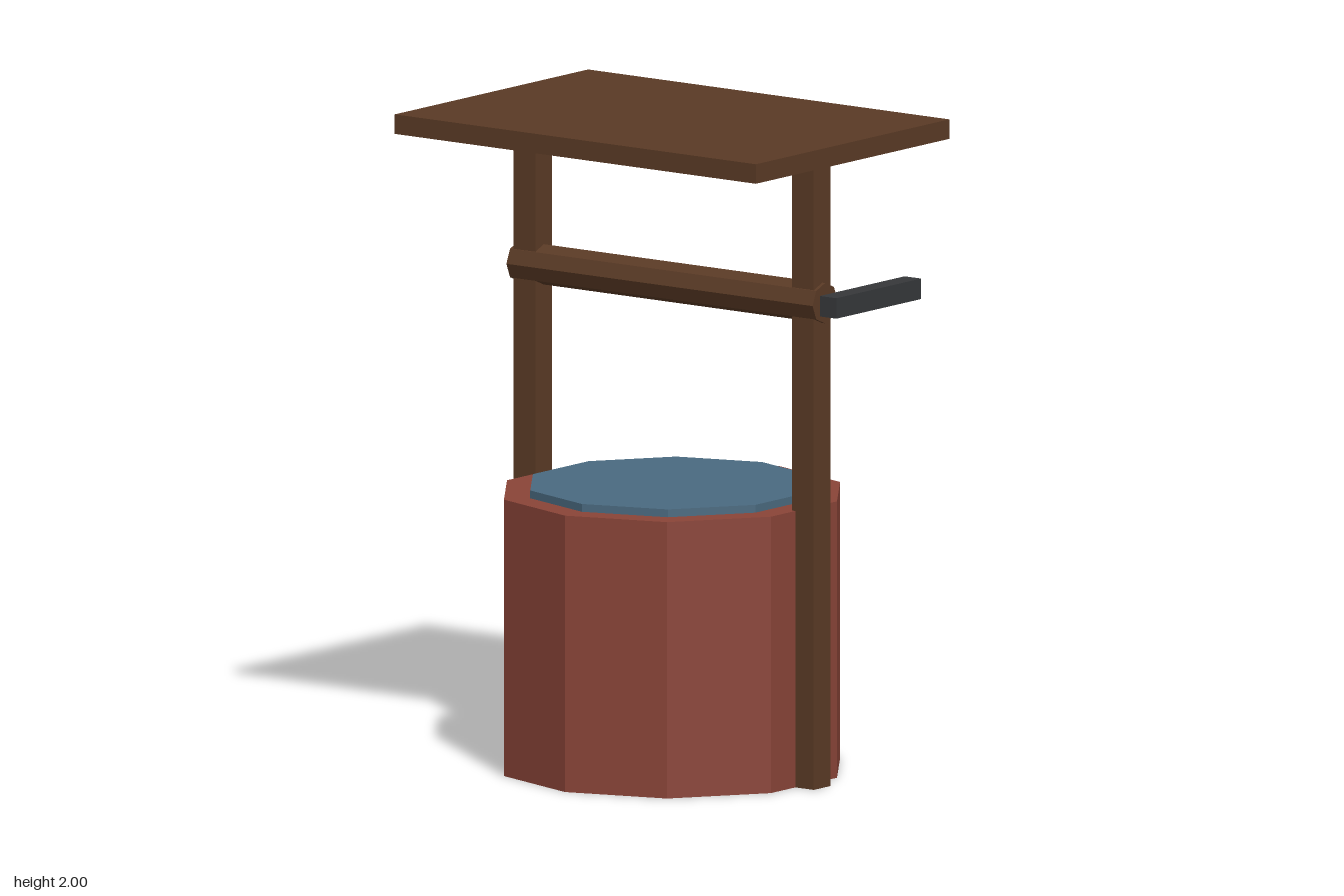
import * as THREE from 'three';

export function createModel() {
  const well = new THREE.Group();
  well.name = 'well';

  const material = (name, color) => {
    const m = new THREE.MeshStandardMaterial({ color, flatShading: true });
    m.name = name;
    return m;
  };
  const brick = material('brick', 0x8a4438);
  const wood = material('wood', 0x5a3a25);
  const water = material('water', 0x4a6a80);
  const iron = material('iron', 0x36383a);

  const add = (name, geometry, mat, x, y, z) => {
    const mesh = new THREE.Mesh(geometry, mat);
    mesh.name = name;
    mesh.position.set(x, y, z);
    well.add(mesh);
    return mesh;
  };

  // Ten-sided base and the water surface standing just proud of it
  add('base', new THREE.CylinderGeometry(0.53, 0.53, 0.85, 10), brick, 0, 0.425, 0);
  add('waterSurface', new THREE.CylinderGeometry(0.447, 0.447, 0.04, 10), water, 0, 0.854, 0);

  // Posts, one on each side
  for (const side of [1, -1]) {
    add(side > 0 ? 'leftPost' : 'rightPost',
      new THREE.BoxGeometry(0.084, 1.915, 0.084), wood, side * 0.532, 0.9575, 0);
  }

  // Flat roof board
  add('roof', new THREE.BoxGeometry(1.38, 0.06, 0.958), wood, 0, 1.97, 0);

  // Winding axle and its crank
  const axle = add('axle', new THREE.CylinderGeometry(0.062, 0.062, 1.17, 8), wood, 0, 1.492, 0);
  axle.rotation.z = Math.PI / 2;
  add('crank', new THREE.BoxGeometry(0.063, 0.063, 0.42), iron, 0.635, 1.492, -0.16);

  return well;
}
